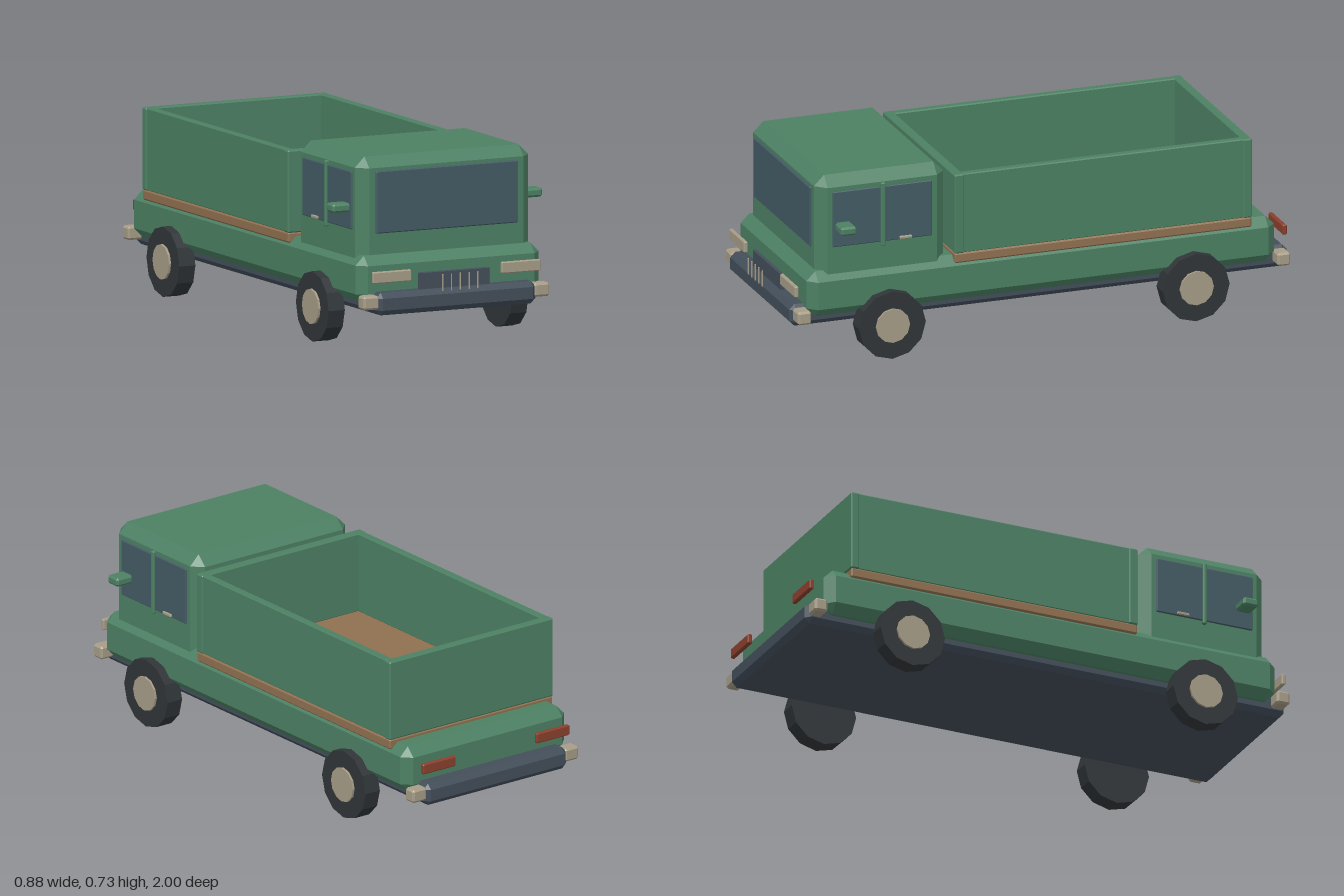
import * as THREE from 'three';
import { ConvexGeometry } from 'three/addons/geometries/ConvexGeometry.js';

const mat = (color) => new THREE.MeshStandardMaterial({ color, flatShading: true });

export function createModel() {
  const truck = new THREE.Group();
  truck.name = 'truck';
  const green = mat(0x4c8063), glass = mat(0x435b65), steel = mat(0x434e5a);
  const rubber = mat(0x303538), cream = mat(0xa69c86), wood = mat(0x8f7050), red = mat(0x8a3f2c);

  // Box with a single flat chamfer of size b, given as [min, max] per axis
  function block(name, material, [x0, x1], [y0, y1], [z0, z1], b = 0.005) {
    const hx = (x1 - x0) / 2, hy = (y1 - y0) / 2, hz = (z1 - z0) / 2;
    const points = [];
    for (const sx of [-1, 1]) for (const sy of [-1, 1]) for (const sz of [-1, 1]) {
      points.push(
        new THREE.Vector3(sx * hx, sy * (hy - b), sz * (hz - b)),
        new THREE.Vector3(sx * (hx - b), sy * hy, sz * (hz - b)),
        new THREE.Vector3(sx * (hx - b), sy * (hy - b), sz * hz));
    }
    const mesh = new THREE.Mesh(new ConvexGeometry(points), material);
    mesh.position.set((x0 + x1) / 2, (y0 + y1) / 2, (z0 + z1) / 2);
    mesh.name = name;
    truck.add(mesh);
  }
  // The same block on both sides, measured on the left (+x)
  function pair(name, material, [x0, x1], y, z, b) {
    block(name + 'Left', material, [x0, x1], y, z, b);
    block(name + 'Right', material, [-x1, -x0], y, z, b);
  }

  // Chassis slab whose ends form the bumpers, and lower body
  block('chassis', steel, [-0.335, 0.335], [0.14, 0.225], [-1, 0.98], 0.02);
  block('lowerBody', green, [-0.385, 0.385], [0.18, 0.358], [-0.937, 0.925], 0.035);
  pair('frontBumperEnd', cream, [0.325, 0.391], [0.164, 0.216], [0.918, 0.972], 0.008);
  pair('rearBumperEnd', cream, [0.325, 0.391], [0.164, 0.216], [-0.99, -0.938], 0.008);

  // Cab with windows
  block('cab', green, [-0.364, 0.364], [0.3, 0.725], [0.37, 0.885], 0.04);
  block('windshield', glass, [-0.298, 0.298], [0.437, 0.673], [0.87, 0.892], 0.004);
  block('rearWindow', glass, [-0.27, 0.27], [0.46, 0.668], [0.361, 0.38], 0.004);
  pair('sideWindow', glass, [0.355, 0.37], [0.45, 0.668], [0.43, 0.826], 0.003);
  pair('windowPillar', green, [0.355, 0.378], [0.435, 0.684], [0.618, 0.636], 0.004);
  pair('doorHandle', cream, [0.36, 0.378], [0.453, 0.464], [0.513, 0.562], 0.002);
  pair('mirror', green, [0.365, 0.441], [0.514, 0.548], [0.756, 0.818], 0.008);

  // Cargo bed: wooden floor and four walls
  block('bedFloor', wood, [-0.384, 0.384], [0.332, 0.372], [-0.838, 0.345], 0.006);
  pair('bedSideWall', green, [0.349, 0.381], [0.37, 0.682], [-0.81, 0.315], 0.004);
  block('bedFrontWall', green, [-0.385, 0.385], [0.37, 0.682], [0.308, 0.346], 0.005);
  block('bedRearWall', green, [-0.385, 0.385], [0.37, 0.682], [-0.839, -0.804], 0.005);

  // Lamps and grille
  pair('headlight', cream, [0.19, 0.352], [0.262, 0.306], [0.955, 0.971], 0.004);
  pair('tailLight', red, [0.19, 0.345], [0.27, 0.31], [-0.992, -0.974], 0.004);
  block('grille', steel, [-0.147, 0.147], [0.222, 0.288], [0.938, 0.952], 0.002);
  for (let i = -2; i <= 2; i++) {
    const x = i * 0.037;
    block('grilleBar', cream, [x - 0.002, x + 0.002], [0.22, 0.284], [0.995, 1], 0.0005);
  }

  // Wheels: twelve-sided tyres with hubcaps
  const tyre = new THREE.CylinderGeometry(0.133, 0.133, 0.068, 12).rotateZ(Math.PI / 2);
  const hub = new THREE.CylinderGeometry(0.067, 0.067, 0.02, 12).rotateZ(Math.PI / 2);
  for (const [end, z] of [['front', 0.608], ['rear', -0.602]]) {
    for (const [side, s] of [['Left', 1], ['Right', -1]]) {
      const wheel = new THREE.Group();
      wheel.name = end + 'Wheel' + side;
      const tyreMesh = new THREE.Mesh(tyre, rubber), hubMesh = new THREE.Mesh(hub, cream);
      tyreMesh.name = 'tyre';
      hubMesh.name = 'hubcap';
      hubMesh.position.x = s * 0.033;
      wheel.add(tyreMesh, hubMesh);
      wheel.position.set(s * 0.386, 0.133, z);
      truck.add(wheel);
    }
  }
  return truck;
}
